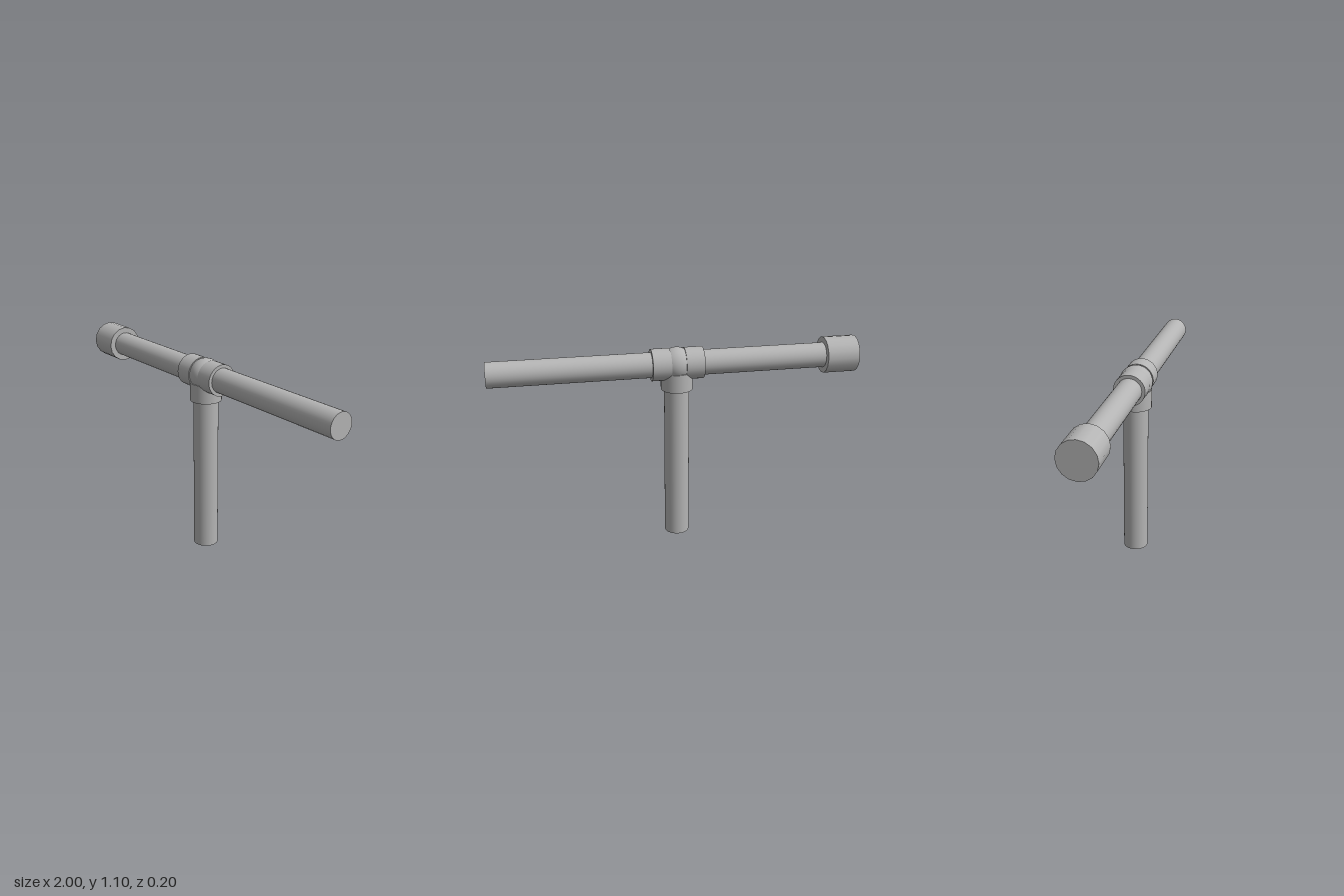
import * as THREE from 'three';

export function createModel() {
  const model = new THREE.Group();
  const metal = new THREE.MeshStandardMaterial({ color: 0xb4b4b4 });
  metal.name = 'grey metal';
  const axisY = 1; // height of the horizontal run

  const add = (name, geometry) => {
    const mesh = new THREE.Mesh(geometry, metal);
    mesh.name = name;
    model.add(mesh);
    return mesh;
  };

  // Closed cylinder along x, from x0 to x1
  const alongX = (name, radius, x0, x1, sides) => {
    const g = new THREE.CylinderGeometry(radius, radius, x1 - x0, sides);
    g.rotateZ(Math.PI / 2);
    add(name, g).position.set((x0 + x1) / 2, axisY, 0);
  };

  // Closed cylinder along y, from y0 to y1
  const upright = (name, radius, y0, y1, sides) => {
    const g = new THREE.CylinderGeometry(radius, radius, y1 - y0, sides);
    add(name, g).position.y = (y0 + y1) / 2;
  };

  // Pipes
  alongX('leftPipe', 0.068, 0.03, 1, 32);
  alongX('rightPipe', 0.068, -0.99, -0.03, 32);
  upright('standPipe', 0.068, 0, 0.97, 32);

  // Tee fitting: round hub with three sockets
  add('teeHub', new THREE.SphereGeometry(0.09, 32, 24)).position.y = axisY;
  alongX('leftSocket', 0.086, 0.04, 0.14, 32);
  alongX('rightSocket', 0.086, -0.14, -0.04, 32);
  upright('lowerSocket', 0.086, 0.86, 0.96, 32);

  // Wide cap closing the right end
  alongX('endCap', 0.1, -1, -0.82, 16);

  return model;
}
